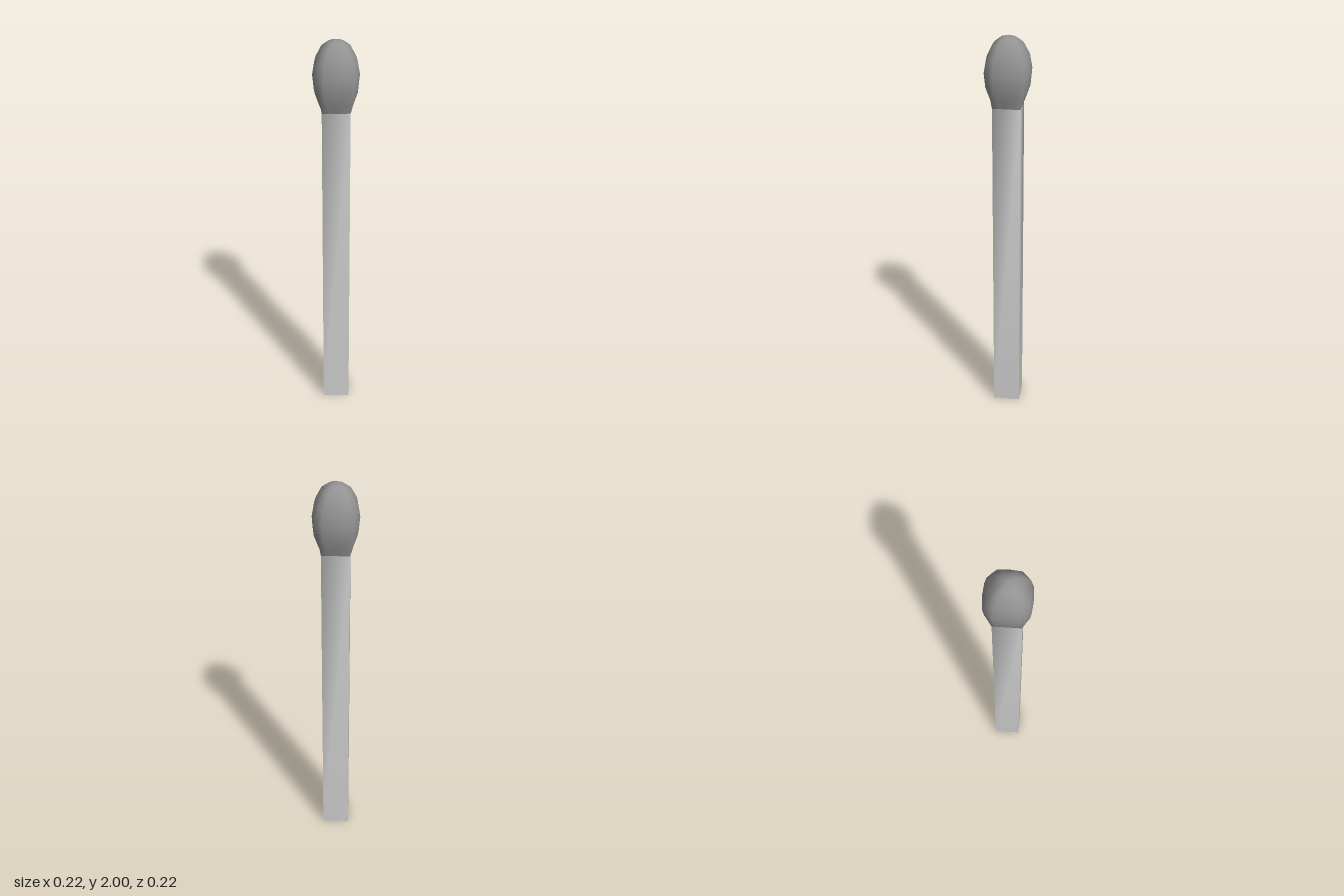
import * as THREE from 'three';

const HALF = 0.068, NECK = 1.66;

// One quarter of a cross-section, as a full square and as a rounded square
const SQUARE = [[1, 0], [1, 0.5], [1, 1], [0.5, 1]];
const ROUND = [[1, 0], [0.955, 0.55], [0.76, 0.76], [0.55, 0.955]];

function ring(y, half, squareness) {
  const points = [];
  for (let q = 0; q < 4; q++) {
    const c = [1, 0, -1, 0][q], s = [0, 1, 0, -1][q];
    for (let i = 0; i < 4; i++) {
      const a = THREE.MathUtils.lerp(ROUND[i][0], SQUARE[i][0], squareness) * half;
      const b = THREE.MathUtils.lerp(ROUND[i][1], SQUARE[i][1], squareness) * half;
      points.push(a * c - b * s, y, a * s + b * c);
    }
  }
  return points;
}

function headGeometry() {
  // height, half width, squareness
  const rings = [
    [NECK, HALF, 1], [1.7, 0.084, 0.5], [1.76, 0.105, 0.1], [1.83, 0.112, 0],
    [1.9, 0.1, 0], [1.96, 0.07, 0], [1.988, 0.036, 0],
  ];
  const n = 16, position = [], index = [];
  rings.forEach((r) => position.push(...ring(...r)));
  const tip = rings.length * n;
  position.push(0, 2, 0);
  for (let j = 0; j < rings.length; j++) {
    for (let i = 0; i < n; i++) {
      const a = j * n + i, b = j * n + (i + 1) % n;
      if (j === rings.length - 1) index.push(a, tip, b);
      else index.push(a, a + n, b, b, a + n, b + n);
    }
  }
  const geometry = new THREE.BufferGeometry();
  geometry.setAttribute('position', new THREE.Float32BufferAttribute(position, 3));
  geometry.setIndex(index);
  geometry.computeVertexNormals();
  return geometry;
}

function stickGeometry() {
  const geometry = new THREE.BoxGeometry(2 * HALF, NECK, 2 * HALF);
  geometry.translate(0, NECK / 2, 0);
  // Sharp edges at the foot soften towards the head
  const p = geometry.attributes.position, normal = geometry.attributes.normal;
  for (let i = 0; i < p.count; i++) {
    if (p.getY(i) > 1 && Math.abs(normal.getY(i)) < 0.5) {
      normal.setXYZ(i, Math.sign(p.getX(i)) * Math.SQRT1_2, 0, Math.sign(p.getZ(i)) * Math.SQRT1_2);
    }
  }
  return geometry;
}

export function createModel() {
  const group = new THREE.Group();
  group.name = 'matchstick';

  // Square wooden stick
  const stick = new THREE.Mesh(stickGeometry(), new THREE.MeshStandardMaterial({ color: 0xcccccc }));
  stick.name = 'stick';

  // Darker bulb of the match head
  const head = new THREE.Mesh(headGeometry(), new THREE.MeshStandardMaterial({ color: 0x939393 }));
  head.name = 'head';

  group.add(stick, head);
  return group;
}
